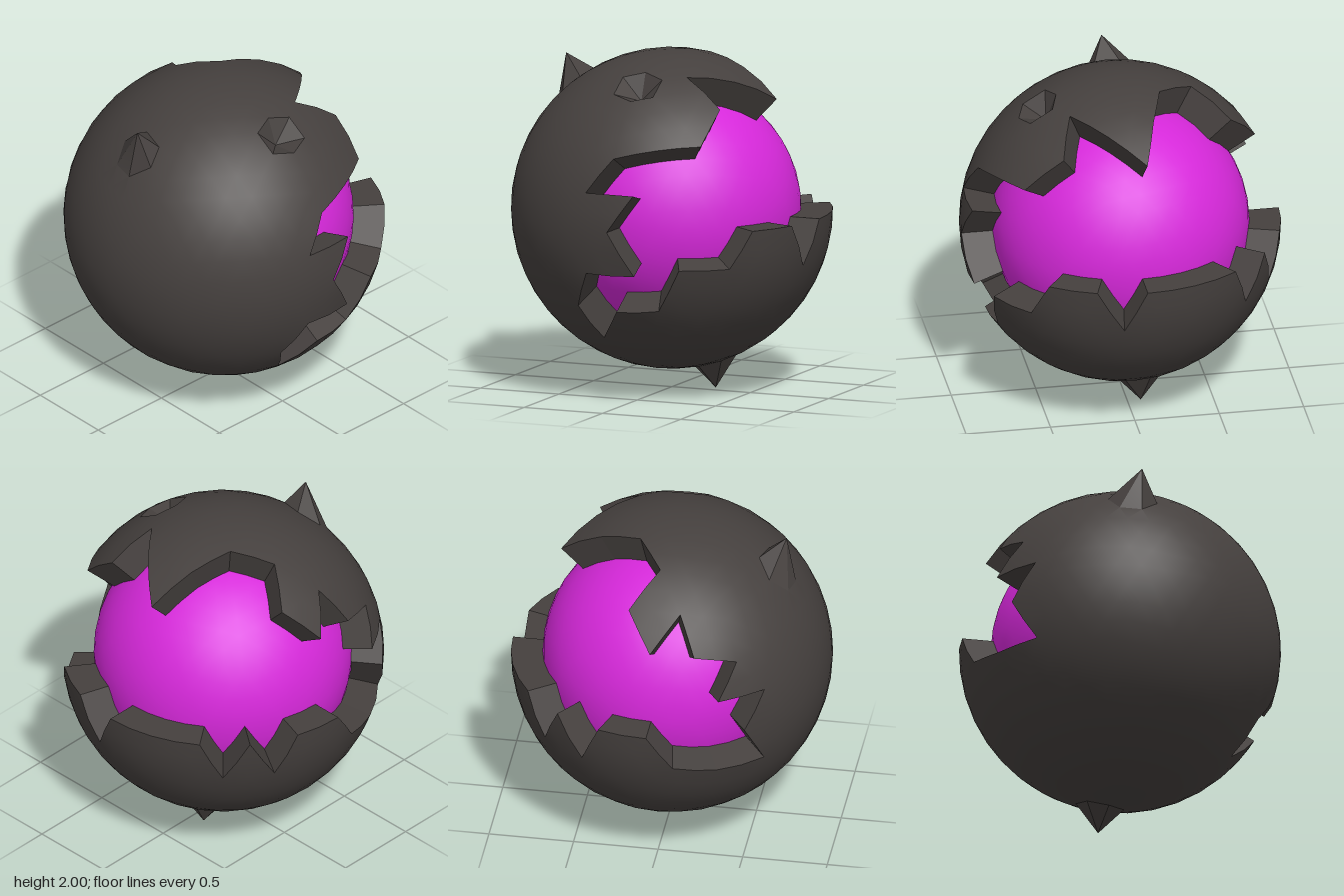
import * as THREE from 'three';
import { toCreasedNormals, mergeVertices } from 'three/addons/utils/BufferGeometryUtils.js';

const OUTER = 0.94, INNER = 0.755, RIM = 0.73, CENTRE_Y = 1.06;

// Outline of the broken opening: [angle from +x round the back in degrees, height]
const OPENING = [
  [0, 0.42], [-9.5, 0.22], [9.5, 0.22], [0, 0], [9.7, -0.26], [-9.7, -0.26],
  [-18.5, -0.45], [-13.4, -0.68], [0, -0.494], [18.5, -0.45], [26.5, -0.22], [45.5, -0.22],
  [54, 0], [72, 0], [81.7, -0.26], [90, 0], [108, 0], [126, 0], [134.3, -0.26], [144, 0],
  [153.7, -0.26], [162, 0], [180, 0], [188.5, -0.22], [206.3, -0.26], [225.7, -0.26],
  [216, 0], [225.5, 0.22], [206.5, 0.22], [216, 0.42], [198.5, 0.45], [193.4, 0.68],
  [180, 0.494], [166.6, 0.68], [180, 0.84], [144, 0.906], [108, 0.84], [94.3, 0.68],
  [72, 0.8], [36, 0.84], [49.4, 0.68], [36, 0.494], [18.5, 0.45],
];

// Raised spikes and a dent: where they start and where they end up
const CHIPS = [
  { from: [-0.05, 0.68, 0.65], to: [-0.01, 0.87, 0.68] },
  { from: [-0.08, -0.906, -0.244], to: [-0.08, -1.06, -0.244] },
  { from: [0.494, 0.8, 0], to: [0.44, 0.7, 0] },
];

// Unit sphere of triangles: an icosahedron on its point, split three times
function icosphere(splits) {
  const points = [new THREE.Vector3(0, 1, 0)];
  const ring = (start, y) => {
    for (let k = 0; k < 5; k++) {
      const a = THREE.MathUtils.degToRad(start + 72 * k), r = 2 / Math.sqrt(5);
      points.push(new THREE.Vector3(r * Math.cos(a), y, -r * Math.sin(a)));
    }
  };
  ring(0, 1 / Math.sqrt(5));
  ring(36, -1 / Math.sqrt(5));
  points.push(new THREE.Vector3(0, -1, 0));

  let faces = [];
  for (let k = 0; k < 5; k++) {
    const n = (k + 1) % 5, u = 1 + k, un = 1 + n, l = 6 + k, ln = 6 + n;
    faces.push([0, u, un], [u, l, un], [l, ln, un], [11, ln, l]);
  }
  for (let s = 0; s < splits; s++) {
    const seen = new Map();
    const mid = (a, b) => {
      const key = Math.min(a, b) + '_' + Math.max(a, b);
      if (!seen.has(key)) {
        seen.set(key, points.length);
        points.push(points[a].clone().add(points[b]).normalize());
      }
      return seen.get(key);
    };
    faces = faces.flatMap(([a, b, c]) => {
      const ab = mid(a, b), bc = mid(b, c), ca = mid(c, a);
      return [[a, ab, ca], [ab, b, bc], [ca, bc, c], [ab, bc, ca]];
    });
  }
  return { points, faces };
}

function inOpening(p) {
  let a = THREE.MathUtils.radToDeg(Math.atan2(-p.z, p.x));
  if (a < -90) a += 360;
  let inside = false;
  OPENING.forEach(([a1, y1], i) => {
    const [a2, y2] = OPENING[(i + 1) % OPENING.length];
    if ((y1 > p.y) !== (y2 > p.y) && a < a1 + (a2 - a1) * (p.y - y1) / (y2 - y1)) inside = !inside;
  });
  return inside;
}

function geometryFrom(triangles) {
  const g = new THREE.BufferGeometry();
  g.setAttribute('position', new THREE.Float32BufferAttribute(
    triangles.flatMap((p) => [p.x, p.y, p.z]), 3));
  return g;
}

export function createModel() {
  const group = new THREE.Group();
  group.name = 'crackedGeode';
  const rock = new THREE.MeshStandardMaterial({ color: 0x45403e });
  rock.name = 'darkRock';
  const glow = new THREE.MeshStandardMaterial({ color: 0xd628da });
  glow.name = 'magentaCore';
  const add = (name, geometry, material) => {
    const mesh = new THREE.Mesh(geometry, material);
    mesh.name = name;
    mesh.position.y = CENTRE_Y;
    group.add(mesh);
  };

  const { points, faces } = icosphere(3);

  // Smooth core
  const core = mergeVertices(geometryFrom(
    faces.flat().map((i) => points[i].clone().multiplyScalar(INNER))), 1e-4);
  core.computeVertexNormals();
  add('core', core, glow);

  // Shell with the opening left out
  const kept = faces.filter(([a, b, c]) => {
    const middle = points[a].clone().add(points[b]).add(points[c]).setLength(OUTER);
    return !inOpening(middle);
  });
  const outer = points.map((p) => p.clone().multiplyScalar(OUTER));
  for (const { from, to } of CHIPS) {
    const start = new THREE.Vector3(...from);
    const nearest = outer.reduce((best, p) =>
      p.distanceTo(start) < best.distanceTo(start) ? p : best);
    nearest.set(...to);
  }
  add('shell', toCreasedNormals(geometryFrom(kept.flat().map((i) => outer[i])), 0.42), rock);

  // Thick broken rim, one wall for every open edge
  const edges = new Set(kept.flatMap(([a, b, c]) => [`${a}_${b}`, `${b}_${c}`, `${c}_${a}`]));
  const walls = [];
  for (const edge of edges) {
    const [a, b] = edge.split('_').map(Number);
    if (edges.has(`${b}_${a}`)) continue;
    const a2 = points[a].clone().multiplyScalar(RIM), b2 = points[b].clone().multiplyScalar(RIM);
    walls.push(outer[a], a2, b2, outer[a], b2, outer[b]);
  }
  const rim = geometryFrom(walls);
  rim.computeVertexNormals();
  add('brokenRim', rim, rock);

  return group;
}
